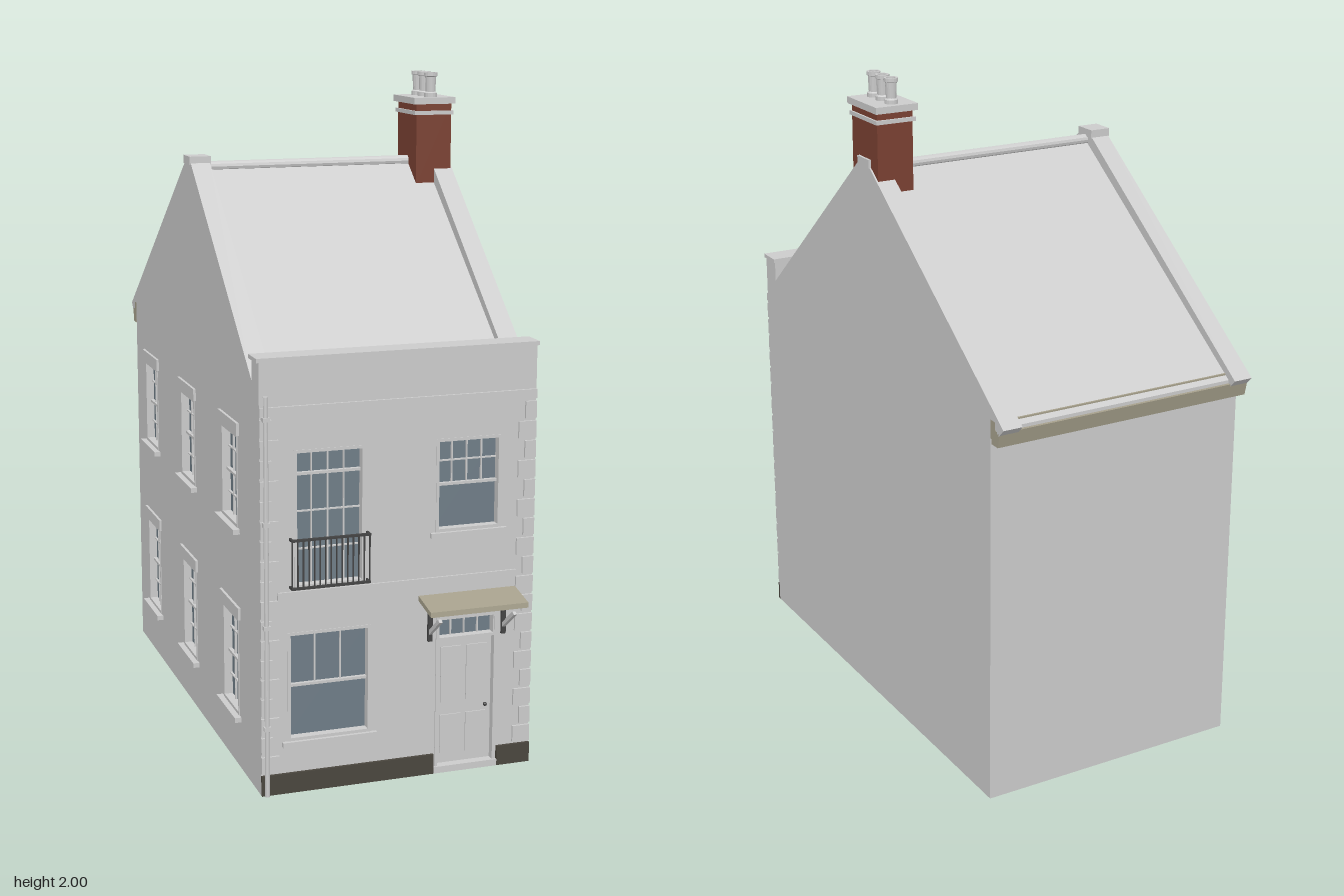
import * as THREE from 'three';

const mat = (color, side = THREE.FrontSide) => new THREE.MeshStandardMaterial({ color, side, flatShading: true });
const grey = mat(0xcccccc), wallMat = mat(0xcccccc, THREE.DoubleSide);
const glass = mat(0x6f7d87, THREE.DoubleSide), brick = mat(0x7a4132), beige = mat(0xa6a08c);
const dark = mat(0x4a463e), iron = mat(0x444444), soot = mat(0x1c1c1c);
const roomWall = mat(0x9c9076, THREE.DoubleSide), roomFloor = mat(0x3a241a, THREE.DoubleSide);

const X0 = -0.41, X1 = 0.42, ZF = 0.73, ZB = -0.76;

function add(parent, name, geo, material = grey) {
  const m = new THREE.Mesh(geo, material);
  m.name = name;
  parent.add(m);
  return m;
}
// Box given by its limits on each axis
function box(parent, name, x0, x1, y0, y1, z0, z1, material = grey) {
  const m = add(parent, name, new THREE.BoxGeometry(x1 - x0, y1 - y0, z1 - z0), material);
  m.position.set((x0 + x1) / 2, (y0 + y1) / 2, (z0 + z1) / 2);
  return m;
}
const poly = pts => new THREE.Shape(pts.map(p => new THREE.Vector2(...p)));
const rect = (x0, x1, y0, y1) => poly([[x0, y0], [x1, y0], [x1, y1], [x0, y1]]);

// Profile in (z, y) swept along x
function sweepX(parent, name, pts, x0, x1, material = grey) {
  const geo = new THREE.ExtrudeGeometry(poly(pts), { depth: x1 - x0, bevelEnabled: false });
  geo.rotateY(-Math.PI / 2).translate(x1, 0, 0);
  return add(parent, name, geo, material);
}

// Window facing +z, origin at the middle of its bottom edge.
// sashes: [y0, y1, columns, rows] as fractions of the height
function makeWindow(name, w, h, { sashes, sill = 0, lintel = false, room = 0 }) {
  const g = new THREE.Group();
  g.name = name;
  const a = w / 2, t = 0.009;
  const ring = rect(-a, a, 0, h);
  ring.holes.push(rect(-a + t, a - t, t, h - t));
  const frame = add(g, 'windowFrame', new THREE.ExtrudeGeometry(ring, { depth: 0.032, bevelEnabled: false }));
  frame.position.z = -0.03;
  const pane = add(g, 'glass', new THREE.PlaneGeometry(w, h), glass);
  pane.position.set(0, h / 2, -0.024);
  for (const [f0, f1, cols, rows] of sashes) {
    const y0 = f0 * h, y1 = f1 * h;
    box(g, 'sashRail', -a, a, y0 - 0.004, y0 + 0.004, -0.026, -0.012);
    for (let i = 1; i < cols; i++) {
      const x = -a + t + (w - 2 * t) * i / cols;
      box(g, 'glazingBar', x - 0.002, x + 0.002, y0, y1, -0.026, -0.017);
    }
    for (let j = 1; j < rows; j++) {
      const y = y0 + (y1 - y0) * j / rows;
      box(g, 'glazingBar', -a, a, y - 0.002, y + 0.002, -0.026, -0.017);
    }
  }
  if (sill) box(g, 'sill', -a - 0.017, a + 0.017, -0.015, 0, -0.03, sill);
  if (lintel) box(g, 'lintel', -a - 0.017, a + 0.017, h, h + 0.037, -0.01, 0.008);
  if (room) {
    // Shallow room behind the glass
    box(g, 'roomFloor', -a, a, -0.006, 0, -room, -0.03, roomFloor);
    box(g, 'roomCeiling', -a, a, h, h + 0.006, -room, -0.03, roomWall);
    box(g, 'roomBack', -a, a, 0, h, -room - 0.004, -room, roomWall);
    for (const s of [-1, 1]) box(g, 'roomSide', s * a - 0.002, s * a + 0.002, 0, h, -room, -0.03, roomWall);
  }
  return g;
}

function buildWalls(house, sideOpenings) {
  const front = rect(X0, X1, 0, 1.2);
  front.holes.push(rect(-0.31, -0.10, 0.61, 1.01), rect(0.115, 0.315, 0.735, 1.01),
    rect(-0.33, -0.08, 0.155, 0.48), rect(0.12, 0.31, 0.002, 0.48));
  add(house, 'frontWall', new THREE.ShapeGeometry(front), wallMat).position.z = ZF;

  const gable = [[ZF, 0], [ZF, 1.2], [0.66, 1.2], [0.02, 1.735], [-0.05, 1.735], [ZB, 1.225], [ZB, 0]];
  for (const x of [X0, X1]) {
    const shape = poly(gable);
    if (x < 0) for (const [z, y, w, h] of sideOpenings) shape.holes.push(rect(z - w / 2, z + w / 2, y, y + h));
    const geo = new THREE.ShapeGeometry(shape).rotateY(x < 0 ? -Math.PI / 2 : -Math.PI / 2);
    add(house, x < 0 ? 'rightWall' : 'leftWall', geo, wallMat).position.x = x;
  }
  const back = add(house, 'backWall', new THREE.PlaneGeometry(X1 - X0, 1.2).rotateY(Math.PI), wallMat);
  back.position.set((X0 + X1) / 2, 0.6, ZB);

  // Parapet, string courses and plinth
  box(house, 'parapet', X0, X1, 1.19, 1.265, 0.66, ZF);
  box(house, 'parapetCoping', -0.418, 0.426, 1.263, 1.275, 0.655, ZF + 0.003);
  box(house, 'cornice', X0, X1, 1.11, 1.137, ZF - 0.01, ZF + 0.008);
  box(house, 'stringCourse', -0.36, 0.366, 0.58, 0.602, ZF - 0.01, ZF + 0.006);
  box(house, 'plinth', X0, 0.115, 0, 0.06, ZF - 0.01, ZF + 0.009, dark);
  box(house, 'plinth', 0.315, X1, 0, 0.06, ZF - 0.01, ZF + 0.009, dark);

  // Corner stones, alternately long and short
  for (let i = 0; i < 18; i++) {
    const y = 0.066 + i * 0.058, w = i % 2 ? 0.034 : 0.054;
    box(house, 'quoin', X0, X0 + w, y, y + 0.05, ZF - 0.01, ZF + 0.007);
    box(house, 'quoin', X1 - w, X1, y, y + 0.05, ZF - 0.01, ZF + 0.007);
  }
}

function buildRoof(house) {
  sweepX(house, 'roofSlopes', [[0.67, 1.165], [-0.015, 1.725], [-0.80, 1.175], [-0.80, 1.155], [-0.015, 1.70], [0.67, 1.14]], -0.36, 0.37, wallMat);
  const ridge = add(house, 'ridgeRoll', new THREE.CylinderGeometry(0.016, 0.016, 0.72, 12).rotateZ(Math.PI / 2));
  ridge.position.set(0.005, 1.726, -0.018);
  const coping = [[0.66, 1.2], [0.02, 1.74], [-0.05, 1.74], [-0.83, 1.18], [-0.805, 1.155], [-0.04, 1.695], [0.01, 1.695], [0.66, 1.15]];
  for (const [a, b] of [[X0, -0.35], [0.36, X1]]) {
    sweepX(house, 'gableCoping', coping, a, b);
    box(house, 'ridgeBlock', a - 0.003, b + 0.003, 1.735, 1.76, -0.055, 0.018);
  }
  // Eaves board and gutter
  box(house, 'eavesBoard', X0, X1, 1.135, 1.19, -0.785, ZB, beige);
  sweepX(house, 'gutter', [[-0.765, 1.12], [-0.765, 1.165], [-0.81, 1.165], [-0.80, 1.12]], X0, X1, beige);
}

function buildChimney(house) {
  const g = new THREE.Group();
  g.name = 'chimney';
  house.add(g);
  box(g, 'chimneyStack', 0.30, 0.415, 1.655, 1.91, -0.10, 0.062, brick);
  box(g, 'chimneyBand', 0.293, 0.421, 1.872, 1.884, -0.107, 0.068);
  box(g, 'chimneyCap', 0.289, 0.425, 1.905, 1.925, -0.115, 0.072);
  const profile = [[0.02, 0], [0.02, 0.012], [0.015, 0.016], [0.017, 0.062], [0.021, 0.064], [0.021, 0.075], [0.014, 0.075], [0.013, 0.04]];
  for (const z of [-0.078, -0.023, 0.032]) {
    const pot = add(g, 'chimneyPot', new THREE.LatheGeometry(profile.map(p => new THREE.Vector2(...p)), 16), wallMat);
    pot.position.set(0.357, 1.925, z);
    const hole = add(g, 'potOpening', new THREE.CylinderGeometry(0.014, 0.014, 0.004, 16), soot);
    hole.position.set(0.357, 1.987, z);
  }
}

function buildDoor(house) {
  const g = new THREE.Group();
  g.name = 'frontDoor';
  house.add(g);
  const fanlight = makeWindow('fanlight', 0.186, 0.072, { sashes: [[0, 1, 4, 1]] });
  fanlight.position.set(0.215, 0.406, ZF);
  g.add(fanlight);
  for (const x of [0.12, 0.302]) box(g, 'doorJamb', x, x + 0.008, 0, 0.48, ZF - 0.03, ZF + 0.004);
  box(g, 'doorHead', 0.12, 0.31, 0.474, 0.482, ZF - 0.03, ZF + 0.004);
  box(g, 'doorLeaf', 0.125, 0.305, 0.02, 0.408, ZF - 0.035, ZF - 0.018);
  box(g, 'doorStep', 0.115, 0.315, 0, 0.02, ZF - 0.035, ZF + 0.009);
  for (const x of [0.143, 0.223]) for (const [a, b] of [[0.05, 0.17], [0.21, 0.38]])
    box(g, 'doorPanel', x, x + 0.064, a, b, ZF - 0.02, ZF - 0.014);
  add(g, 'doorKnob', new THREE.SphereGeometry(0.006, 10, 8), iron).position.set(0.283, 0.19, ZF - 0.01);

  // Sloping canopy on two struts
  sweepX(g, 'canopy', [[ZF, 0.535], [ZF, 0.55], [0.828, 0.53], [0.83, 0.515]], 0.065, 0.366, beige);
  for (const x of [0.10, 0.33]) {
    box(g, 'bracketPlate', x - 0.007, x + 0.007, 0.41, 0.50, ZF, ZF + 0.008, iron);
    sweepX(g, 'canopyStrut', [[ZF, 0.425], [ZF, 0.44], [0.808, 0.50], [0.82, 0.494]], x - 0.005, x + 0.005);
  }
}

function buildBalcony(house) {
  const g = new THREE.Group();
  g.name = 'balcony';
  house.add(g);
  for (const y of [0.612, 0.752]) {
    box(g, 'rail', -0.325, -0.09, y, y + 0.007, 0.748, 0.756, iron);
    for (const x of [-0.325, -0.096]) box(g, 'returnRail', x, x + 0.006, y, y + 0.007, ZF, 0.75, iron);
  }
  for (let i = 0; i <= 14; i++) {
    const x = -0.322 + i * 0.0164;
    box(g, 'baluster', x - 0.0018, x + 0.0018, 0.612, 0.755, 0.750, 0.754, iron);
  }
}

export function createModel() {
  const house = new THREE.Group();
  house.name = 'townhouse';

  // Side windows: z centre, bottom, width, height
  const sideOpenings = [];
  for (const z of [0.425, -0.06, -0.545]) sideOpenings.push([z, 0.16, 0.17, 0.30], [z, 0.735, 0.17, 0.277]);
  buildWalls(house, sideOpenings);
  buildRoof(house);
  buildChimney(house);

  const frontWindows = [
    ['balconyWindow', -0.205, 0.61, 0.21, 0.40, { sashes: [[0, 0.82, 4, 3], [0.82, 1, 4, 1]], room: 0.2 }],
    ['upperWindow', 0.215, 0.735, 0.20, 0.275, { sashes: [[0, 0.5, 1, 1], [0.5, 1, 4, 2]], sill: 0.012, room: 0.2 }],
    ['lowerWindow', -0.205, 0.155, 0.25, 0.325, { sashes: [[0, 0.5, 1, 1], [0.5, 1, 3, 1]], sill: 0.012, room: 0.2 }],
  ];
  for (const [name, x, y, w, h, opts] of frontWindows) {
    const win = makeWindow(name, w, h, opts);
    win.position.set(x, y, ZF);
    house.add(win);
  }
  for (const [z, y, w, h] of sideOpenings) {
    const win = makeWindow('sideWindow', w, h, {
      sashes: [[0, 0.5, 3, 2], [0.5, 1, 3, 2]], sill: 0.02, lintel: true, room: z === -0.06 ? 0 : 0.15,
    });
    win.rotation.y = -Math.PI / 2;
    win.position.set(X0, y, z);
    house.add(win);
  }

  buildDoor(house);
  buildBalcony(house);

  // Drainpipe with collars
  const pipe = add(house, 'drainpipe', new THREE.CylinderGeometry(0.007, 0.007, 1.17, 10));
  pipe.position.set(-0.395, 0.585, ZF + 0.013);
  for (const y of [0.2, 0.5, 0.8, 1.1]) box(house, 'pipeCollar', -0.405, -0.385, y, y + 0.012, ZF, ZF + 0.021);
  return house;
}
